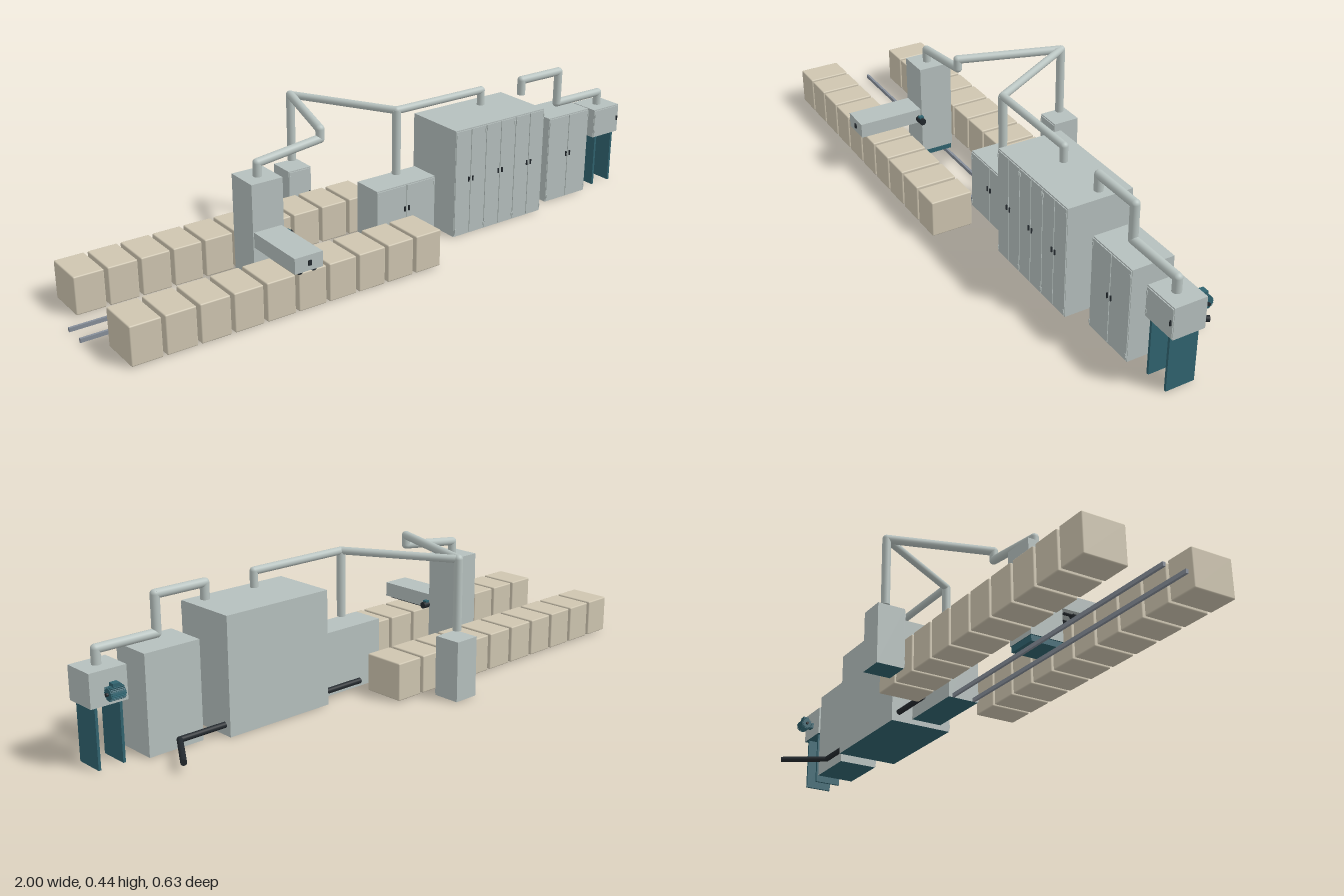
import * as THREE from 'three';
import { RoundedBoxGeometry } from 'three/addons/geometries/RoundedBoxGeometry.js';

const mat = (name, color) => new THREE.MeshStandardMaterial({ name, color });

export function createModel() {
  const root = new THREE.Group();
  root.name = 'fibreOpeningLine';
  const grey = mat('panelGrey', 0xb5bfbd);
  const teal = mat('baseTeal', 0x30636f);
  const black = mat('fittingBlack', 0x23292e);
  const tan = mat('baleTan', 0xcec5b0);
  const steel = mat('railSteel', 0x868e99);
  const pipeGrey = mat('pipeGrey', 0xb9c4c1);

  const add = (parent, name, geo, material) => {
    const m = new THREE.Mesh(geo, material);
    m.name = name;
    parent.add(m);
    return m;
  };
  const group = (name) => {
    const g = new THREE.Group();
    g.name = name;
    root.add(g);
    return g;
  };
  // box given by its limits on each axis
  const box = (parent, name, [x0, x1], [y0, y1], [z0, z1], material) => {
    const m = add(parent, name, new THREE.BoxGeometry(x1 - x0, y1 - y0, z1 - z0), material);
    m.position.set((x0 + x1) / 2, (y0 + y1) / 2, (z0 + z1) / 2);
    return m;
  };
  // cylinder between two points
  const rod = (parent, name, a, b, r, material, sides = 20) => {
    const p = new THREE.Vector3(...a), q = new THREE.Vector3(...b);
    const d = q.clone().sub(p);
    const m = add(parent, name, new THREE.CylinderGeometry(r, r, d.length(), sides), material);
    m.position.copy(p).add(q).multiplyScalar(0.5);
    m.quaternion.setFromUnitVectors(new THREE.Vector3(0, 1, 0), d.normalize());
    return m;
  };
  // run of straight pipes with ball elbows
  const pipe = (name, points, r, material) => {
    const g = group(name);
    points.forEach((p, i) => {
      if (i === 0) return;
      rod(g, 'pipeSection', points[i - 1], p, r, material);
      if (i < points.length - 1)
        add(g, 'elbow', new THREE.SphereGeometry(r, 20, 12), material).position.set(...p);
    });
  };
  // cabinet with teal underside, front doors, handles and hinges
  const bodyMats = [grey, grey, grey, teal, grey, grey];
  const cabinet = (name, x, y, z, doors, handleY) => {
    const g = group(name);
    const front = z[1] - 0.003;
    box(g, 'body', x, y, [z[0], front], bodyMats);
    const w = (x[1] - x[0]) / doors;
    for (let i = 0; i < doors; i++) {
      const a = x[0] + i * w, b = a + w;
      box(g, 'door', [a + 0.0015, b - 0.0015], [y[0] + 0.004, y[1] - 0.004], [front, z[1]], grey);
      const hx = i % 2 ? a + 0.008 : b - 0.008;
      box(g, 'handle', [hx - 0.002, hx + 0.002], [handleY - 0.008, handleY + 0.008],
        [z[1], z[1] + 0.004], black);
      const kx = i % 2 ? b - 0.004 : a + 0.004;
      for (const ky of [y[0] + 0.02, y[1] - 0.02])
        box(g, 'hinge', [kx - 0.002, kx + 0.002], [ky - 0.006, ky + 0.006], [z[1], z[1] + 0.002], grey);
    }
    return g;
  };

  // two rows of bales
  const baleGeo = new RoundedBoxGeometry(0.092, 0.118, 0.135, 2, 0.004);
  for (const z of [0.217, -0.126]) {
    const row = group(z > 0 ? 'frontBales' : 'backBales');
    for (let i = 0; i < 10; i++)
      add(row, 'bale', baleGeo, tan).position.set(-0.902 + i * 0.1027, 0.062, z);
  }

  // floor rails
  const rails = group('rails');
  for (const z of [0.008, 0.08])
    box(rails, 'rail', [-1, -0.02], [0, 0.012], [z - 0.004, z + 0.004], steel);

  // travelling plucker: carriage, tower, arm and toothed rollers
  const plucker = group('plucker');
  box(plucker, 'carriage', [-0.462, -0.365], [0.012, 0.03], [-0.008, 0.096], teal);
  box(plucker, 'tower', [-0.466, -0.363], [0.03, 0.33], [-0.011, 0.098], bodyMats);
  box(plucker, 'arm', [-0.463, -0.371], [0.137, 0.184], [0.098, 0.31], grey);
  box(plucker, 'armHandle', [-0.42, -0.41], [0.153, 0.168], [0.31, 0.314], black);
  for (const x of [-0.44, -0.394]) {
    rod(plucker, 'rollerShaft', [x, 0.137, 0.12], [x, 0.137, 0.302], 0.006, black, 12);
    for (let i = 0; i < 20; i++) {
      const z = 0.15 + i * 0.0078;
      rod(plucker, 'rollerTeeth', [x, 0.137, z - 0.002], [x, 0.137, z + 0.002], 0.011, black, 10);
    }
  }
  rod(plucker, 'armMotor', [-0.371, 0.152, 0.105], [-0.34, 0.152, 0.105], 0.011, black);
  box(plucker, 'motorTerminal', [-0.362, -0.348], [0.16, 0.167], [0.098, 0.112], teal);

  // cabinets along the line
  cabinet('condenser', [-0.14, -0.057], [0, 0.188], [-0.312, -0.222], 1, 0.1);
  cabinet('feedCabinet', [-0.027, 0.195], [0, 0.2], [-0.008, 0.097], 2, 0.12);
  cabinet('mixer', [0.232, 0.597], [0, 0.355], [-0.06, 0.151], 6, 0.187);
  cabinet('cleaner', [0.662, 0.84], [0, 0.295], [-0.022, 0.112], 2, 0.157);

  // end separator on two plate legs
  const separator = cabinet('separator', [0.886, 1], [0.177, 0.275], [-0.007, 0.097], 1, 0.228);
  for (const x of [0.905, 0.981])
    box(separator, 'legPlate', [x - 0.004, x + 0.004], [0, 0.177], [0, 0.09], teal);

  // finned motor behind the separator
  const motor = group('motor');
  rod(motor, 'motorBody', [0.92, 0.219, -0.038], [0.966, 0.219, -0.038], 0.016, teal);
  rod(motor, 'motorShaft', [0.914, 0.219, -0.038], [0.972, 0.219, -0.038], 0.005, black);
  box(motor, 'motorMount', [0.93, 0.956], [0.21, 0.228], [-0.03, -0.006], teal);
  box(motor, 'terminalBox', [0.932, 0.954], [0.234, 0.247], [-0.047, -0.027], teal);
  for (let i = 0; i < 24; i++) {
    const a = (i / 24) * Math.PI * 2;
    const fin = box(motor, 'fin', [0.922, 0.964], [-0.001, 0.001], [-0.003, 0.003], teal);
    fin.position.set(0.943, 0.219 + Math.sin(a) * 0.017, -0.038 + Math.cos(a) * 0.017);
    fin.rotation.x = -a;
  }

  // air ducts
  const z = 0.047, top = 0.426;
  pipe('suctionDuct', [[-0.415, 0.33, z], [-0.415, 0.37, z], [-0.2, 0.396, z], [-0.2, top, z],
    [-0.1, top, -0.268], [-0.1, 0.207, -0.268]], 0.0135, pipeGrey);
  pipe('transferDuct', [[-0.1, top, -0.268], [0.08, top, z], [0.415, top, z], [0.415, 0.378, z]],
    0.012, pipeGrey);
  pipe('feedDrop', [[0.08, top, z], [0.08, 0.22, z]], 0.0135, pipeGrey);
  pipe('deliveryDuct', [[0.588, 0.378, z], [0.588, top, z], [0.752, top, z], [0.752, 0.317, z],
    [0.943, 0.317, z], [0.943, 0.275, z]], 0.0135, pipeGrey);

  // waste line behind the machines
  pipe('wastePipe', [[0.08, 0.031, -0.035], [0.75, 0.031, -0.035], [0.833, 0.031, -0.168]],
    0.009, black);
  return root;
}
